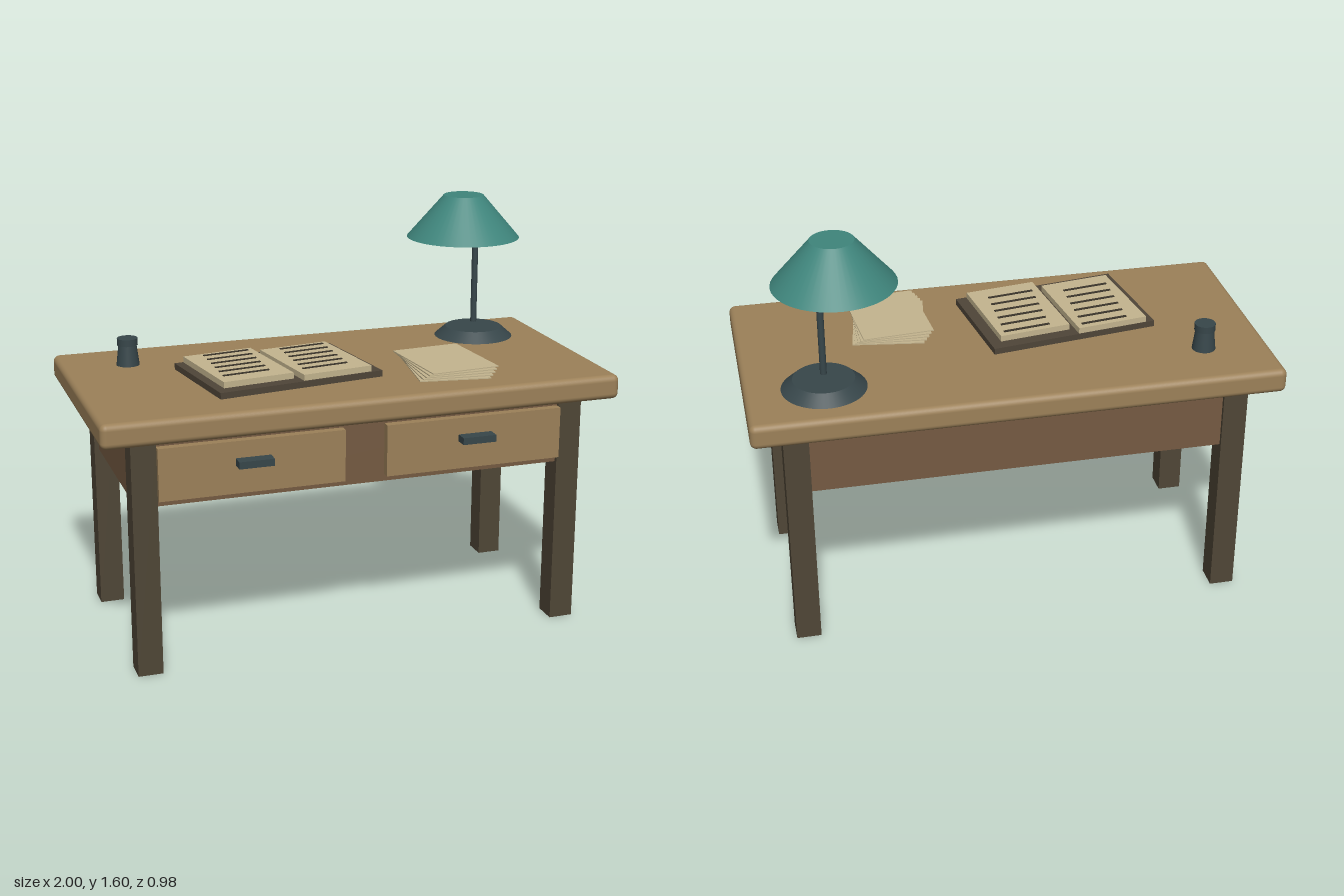
import * as THREE from 'three';
import { RoundedBoxGeometry } from 'three/addons/geometries/RoundedBoxGeometry.js';

const mat = (color) => new THREE.MeshStandardMaterial({ color });

export function createModel() {
  const desk = new THREE.Group();
  desk.name = 'writingDesk';

  const wood = mat(0x9c8159);
  const apronWood = mat(0x755a42);
  const legWood = mat(0x4f4636);
  const metal = mat(0x37464a);
  const green = mat(0x3f857c);
  const paper = mat(0xc4b58f);
  const leather = mat(0x4f4538);
  const ink = mat(0x3c362c);

  const add = (name, geometry, material, x, y, z, turn = 0) => {
    const mesh = new THREE.Mesh(geometry, material);
    mesh.name = name;
    mesh.position.set(x, y, z);
    mesh.rotation.y = turn;
    desk.add(mesh);
    return mesh;
  };
  const box = (w, h, d) => new THREE.BoxGeometry(w, h, d);
  const round = (top, bottom, h) => new THREE.CylinderGeometry(top, bottom, h, 48);

  // Table: soft-edged top, closed apron box and four square legs
  add('tableTop', new RoundedBoxGeometry(2, 0.095, 0.98, 4, 0.024), wood, 0, 0.9625, 0);
  add('apron', box(1.725, 0.25, 0.78), apronWood, 0, 0.78, 0);
  for (const sx of [-1, 1]) {
    for (const sz of [-1, 1]) {
      add('leg', box(0.094, 0.92, 0.094), legWood, sx * 0.834, 0.46, sz * 0.357);
    }
  }

  // Drawers with bar handles
  for (const sx of [-1, 1]) {
    add('drawerFront', box(0.705, 0.2, 0.04), wood, sx * 0.434, 0.782, 0.402);
    add('drawerHandle', box(0.133, 0.027, 0.05), metal, sx * 0.434, 0.804, 0.446);
  }

  // Desk lamp
  add('lampBase', round(0.115, 0.16, 0.04), metal, 0.706, 1.029, -0.25);
  add('lampStem', round(0.0125, 0.0125, 0.37), metal, 0.706, 1.252, -0.25);
  add('lampShade', round(0.08, 0.227, 0.17), green, 0.65, 1.512, -0.25);

  // Ink pot with a lid
  add('inkPot', round(0.035, 0.045, 0.08), metal, -0.745, 1.05, -0.253);
  add('inkPotLid', round(0.04, 0.04, 0.027), metal, -0.745, 1.103, -0.253);

  // Open book: cover, two page blocks and ruled writing
  const turn = 0.147;
  add('bookCover', box(0.66, 0.024, 0.443), leather, -0.243, 1.038, 0.099, turn);
  for (const x of [-0.4, -0.095]) {
    add('bookPages', box(0.28, 0.024, 0.39), paper, x, 1.061, 0.098, turn);
    for (let i = 0; i < 6; i++) {
      add('writingLine', box(0.185, 0.004, 0.01), ink, x, 1.0745, -0.07 + i * 0.058, turn);
    }
  }

  // Fanned loose sheets
  for (let i = 0; i < 5; i++) {
    add('looseSheet', box(0.275, 0.004, 0.355), paper, 0.4, 1.016 + i * 0.0085, 0.193, -0.15 + i * 0.058);
  }

  return desk;
}
